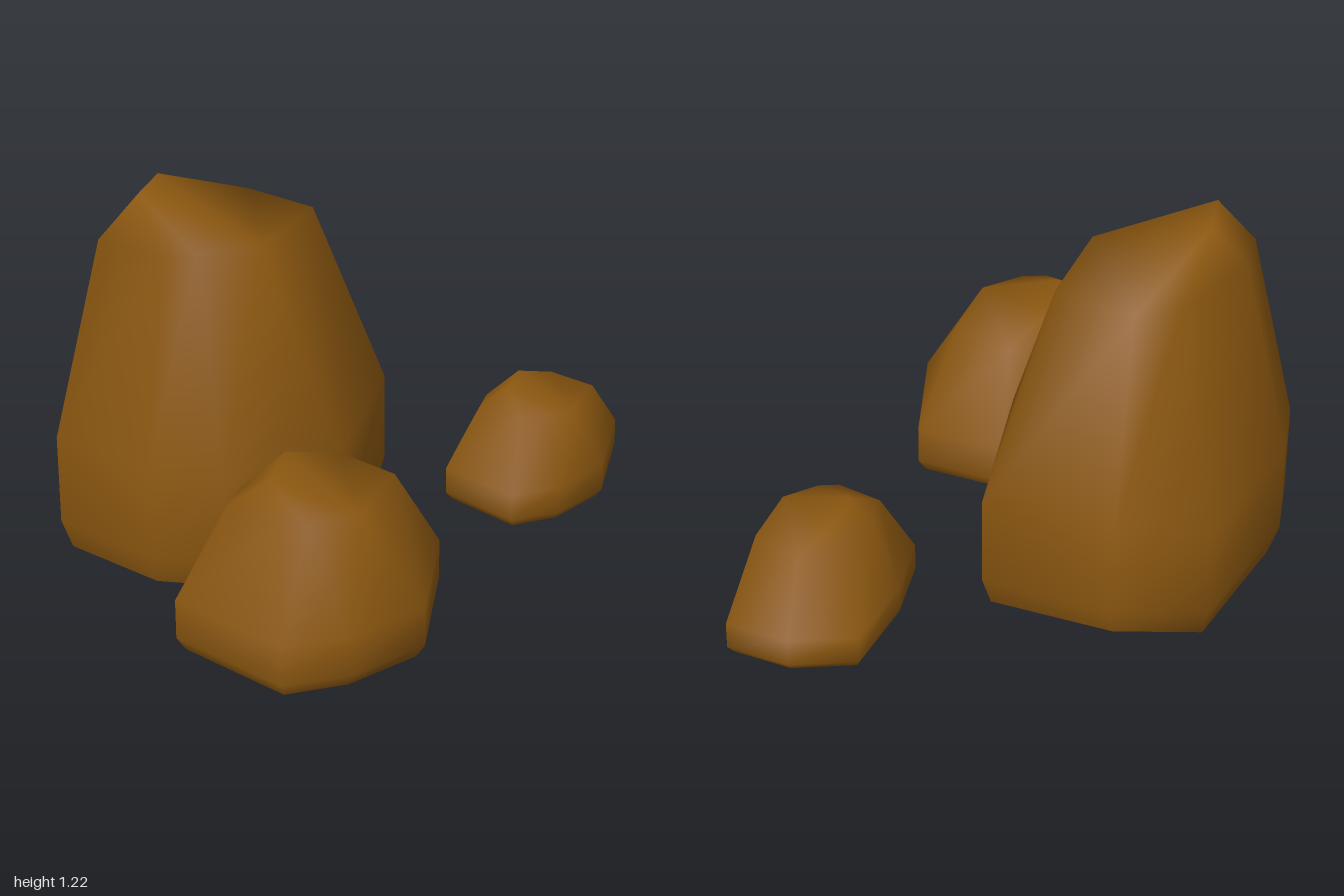
import * as THREE from 'three';

// Shoulder ring shared by all rocks, as fractions of its x and z range
const SHOULDER = [[0, 0.48], [0.16, 0.26], [0.64, 0], [0.85, 0.07], [1, 0.56], [0.6, 1], [0.3, 1], [0.16, 0.91]];

// One rock: open base, two girth rings, a shoulder ring and a short ridge on top
function rock(name, material, { girth, inset, heights, shoulderX, shoulderZ, ridge }) {
  const [baseY, lowY, midY, shoulderY, topY] = heights;
  const n = girth.length;
  const cx = girth.reduce((s, p) => s + p[0], 0) / n;
  const cz = girth.reduce((s, p) => s + p[1], 0) / n;
  const base = girth.map(([x, z]) => {
    const k = 1 - inset / Math.hypot(x - cx, z - cz);
    return [cx + (x - cx) * k, cz + (z - cz) * k];
  });
  const shoulder = SHOULDER.map(([u, v]) => [
    THREE.MathUtils.lerp(shoulderX[0], shoulderX[1], u),
    THREE.MathUtils.lerp(shoulderZ[0], shoulderZ[1], v),
  ]);

  const positions = [];
  const addRing = (points, y) => points.forEach(([x, z]) => positions.push(x, y, z));
  addRing(base, baseY);
  addRing(girth, lowY);
  addRing(girth, midY);
  addRing(shoulder, shoulderY);
  addRing(ridge, topY);

  // Sides
  const index = [];
  for (let r = 0; r < 3; r++) {
    for (let i = 0; i < n; i++) {
      const j = (i + 1) % n, lo = r * n, up = lo + n;
      index.push(lo + j, lo + i, up + i, lo + j, up + i, up + j);
    }
  }
  // Cap: slopes up to the ridge, with a flat ledge on one side
  const s = 3 * n, a = 4 * n, b = a + 1;
  const fan = (apex, i, j) => index.push(apex, s + j, s + i);
  fan(b, 1, 2);
  fan(b, 2, 3);
  fan(b, 3, 5);
  fan(a, 5, 6);
  fan(a, 6, 7);
  fan(a, 7, 0);
  fan(a, 0, 1);
  index.push(a, b, s + 1, a, s + 5, b, s + 5, s + 4, s + 3);

  const geometry = new THREE.BufferGeometry();
  geometry.setAttribute('position', new THREE.Float32BufferAttribute(positions, 3));
  geometry.setIndex(index);
  geometry.computeVertexNormals();
  const mesh = new THREE.Mesh(geometry, material);
  mesh.name = name;
  return mesh;
}

export function createModel() {
  const group = new THREE.Group();
  group.name = 'rocks';
  const brown = new THREE.MeshStandardMaterial({ color: 0x8b5710, side: THREE.DoubleSide });
  brown.name = 'brown stone';

  group.add(
    rock('tallRock', brown, {
      girth: [[-1, -0.4], [-0.83, -0.6], [-0.35, -0.87], [-0.09, -0.71], [0.17, -0.35], [-0.24, 0.13], [-0.65, 0.12], [-0.84, -0.02]],
      inset: 0.035,
      heights: [0, 0.1, 0.4, 1.07, 1.22],
      shoulderX: [-0.84, -0.11],
      shoulderZ: [-0.62, -0.08],
      ridge: [[-0.72, -0.31], [-0.59, -0.46]],
    }),
    rock('frontRock', brown, {
      girth: [[-0.94, 0.41], [-0.77, 0.2], [-0.44, 0.01], [-0.22, 0.17], [-0.04, 0.43], [-0.29, 0.8], [-0.57, 0.86], [-0.78, 0.82]],
      inset: 0.03,
      heights: [0.005, 0.05, 0.18, 0.49, 0.56],
      shoulderX: [-0.79, -0.24],
      shoulderZ: [0.26, 0.7],
      ridge: [[-0.66, 0.5], [-0.53, 0.34]],
    }),
    rock('smallRock', brown, {
      girth: [[0.28, -0.11], [0.44, -0.29], [0.68, -0.46], [0.88, -0.36], [1, -0.18], [0.76, 0.12], [0.54, 0.2], [0.37, 0.18]],
      inset: 0.025,
      heights: [0.01, 0.04, 0.13, 0.34, 0.39],
      shoulderX: [0.4, 0.83],
      shoulderZ: [-0.26, 0.08],
      ridge: [[0.51, -0.1], [0.61, -0.2]],
    }),
  );
  return group;
}
